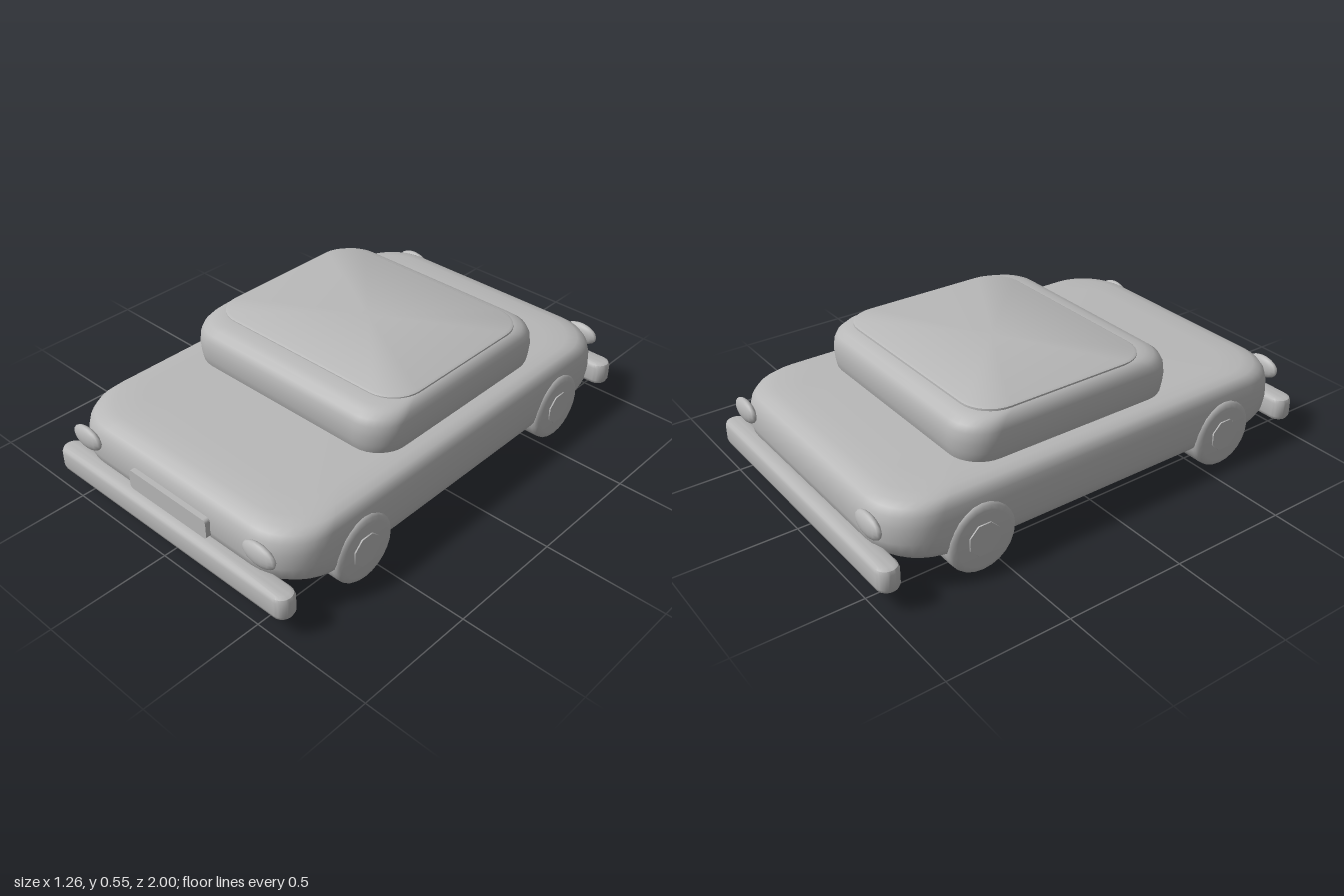
import * as THREE from 'three';
import { toCreasedNormals } from 'three/addons/utils/BufferGeometryUtils.js';

const CREASE = 0.7;

// Outline of a rounded rectangle in the xz plane
function ring(y, w, l, r, cz) {
  const pts = [], n = 8;
  for (let q = 0; q < 4; q++) {
    const sx = q === 0 || q === 3 ? 1 : -1, sz = q < 2 ? 1 : -1;
    for (let i = 0; i <= n; i++) {
      const a = (q + i / n) * Math.PI / 2;
      pts.push([sx * (w - r) + r * Math.cos(a), y, cz + sz * (l - r) + r * Math.sin(a)]);
    }
  }
  return pts;
}

// Stacks rounded rectangles [y, halfWidth, halfLength, cornerRadius] and caps both ends
function loft(layers, cz = 0) {
  const rings = layers.map(([y, w, l, r]) => ring(y, w, l, r, cz));
  const n = rings[0].length, top = rings.length - 1, pos = [];
  const bottomCentre = [0, layers[0][0], cz], topCentre = [0, layers[top][0], cz];
  for (let j = 0; j < n; j++) {
    const k = (j + 1) % n;
    for (let i = 0; i < top; i++) {
      const a = rings[i][j], b = rings[i][k], c = rings[i + 1][j], d = rings[i + 1][k];
      pos.push(...a, ...c, ...b, ...b, ...c, ...d);
    }
    pos.push(...bottomCentre, ...rings[0][j], ...rings[0][k]);
    pos.push(...topCentre, ...rings[top][k], ...rings[top][j]);
  }
  const g = new THREE.BufferGeometry();
  g.setAttribute('position', new THREE.Float32BufferAttribute(pos, 3));
  return toCreasedNormals(g, CREASE);
}

function lathe(profile, segments) {
  const pts = profile.map(([r, y]) => new THREE.Vector2(r, y));
  return toCreasedNormals(new THREE.LatheGeometry(pts, segments), CREASE);
}

export function createModel() {
  const car = new THREE.Group();
  car.name = 'car';
  const grey = new THREE.MeshStandardMaterial({ color: 0xb8b8b8 });
  grey.name = 'plain grey';

  const add = (name, geometry, parent = car) => {
    const mesh = new THREE.Mesh(geometry, grey);
    mesh.name = name;
    parent.add(mesh);
    return mesh;
  };

  // Low body with a flat underside and softly rounded shoulders
  add('body', loft([
    [0.11, 0.59, 0.74, 0.16],
    [0.12, 0.60, 0.84, 0.18],
    [0.135, 0.608, 0.905, 0.2],
    [0.16, 0.613, 0.935, 0.2],
    [0.21, 0.616, 0.945, 0.2],
    [0.27, 0.614, 0.943, 0.2],
    [0.31, 0.608, 0.934, 0.2],
    [0.335, 0.598, 0.918, 0.2],
    [0.35, 0.582, 0.893, 0.2],
    [0.36, 0.55, 0.85, 0.19],
    [0.365, 0.49, 0.76, 0.18],
  ]));

  // Pillowy cabin with a thin roof panel
  add('cabin', loft([
    [0.34, 0.505, 0.47, 0.12],
    [0.37, 0.518, 0.482, 0.13],
    [0.40, 0.525, 0.488, 0.14],
    [0.44, 0.528, 0.49, 0.14],
    [0.48, 0.525, 0.486, 0.14],
    [0.505, 0.519, 0.474, 0.14],
    [0.522, 0.508, 0.452, 0.14],
    [0.533, 0.497, 0.42, 0.14],
    [0.538, 0.485, 0.38, 0.13],
  ], -0.087));
  add('roofPanel', loft([
    [0.53, 0.491, 0.393, 0.13],
    [0.542, 0.49, 0.392, 0.13],
    [0.547, 0.48, 0.382, 0.12],
  ], -0.105));

  // Bumpers at both ends
  const bumperGeometry = loft([
    [0.08, 0.605, 0.033, 0.032],
    [0.086, 0.62, 0.041, 0.04],
    [0.1, 0.627, 0.045, 0.044],
    [0.16, 0.627, 0.045, 0.044],
    [0.174, 0.62, 0.041, 0.04],
    [0.18, 0.605, 0.033, 0.032],
  ]);
  // Oval lamps
  const lampGeometry = new THREE.SphereGeometry(1, 16, 10);
  lampGeometry.scale(0.08, 0.047, 0.024);

  // Tyre and hub profiles, outer face pointing up the lathe axis
  const tyreGeometry = lathe([
    [0, 0], [0.135, 0], [0.145, 0.012], [0.145, 0.108],
    [0.142, 0.122], [0.132, 0.132], [0.115, 0.136], [0, 0.136],
  ], 24);
  const hubGeometry = new THREE.CylinderGeometry(0.068, 0.073, 0.02, 8);

  for (const end of [1, -1]) {
    const endName = end > 0 ? 'front' : 'rear';
    add(endName + 'Bumper', bumperGeometry).position.z = end * 0.955;
    for (const side of [1, -1]) {
      const sideName = side > 0 ? 'Left' : 'Right';
      add(endName + sideName + 'Lamp', lampGeometry).position.set(side * 0.473, 0.275, end * 0.953);
      const wheel = new THREE.Group();
      wheel.name = endName + sideName + 'Wheel';
      add('tyre', tyreGeometry, wheel);
      const hub = add('hub', hubGeometry, wheel);
      hub.position.y = 0.131;
      hub.rotation.y = Math.PI / 8;
      wheel.rotation.z = -side * Math.PI / 2;
      wheel.position.set(side * 0.49, 0.145, end * 0.585);
      car.add(wheel);
    }
  }

  // Number plate with rounded corners
  const plate = new THREE.Shape();
  const w = 0.212, h = 0.042, r = 0.015;
  plate.absarc(w - r, h - r, r, 0, Math.PI / 2);
  plate.absarc(-w + r, h - r, r, Math.PI / 2, Math.PI);
  plate.absarc(-w + r, -h + r, r, Math.PI, Math.PI * 1.5);
  plate.absarc(w - r, -h + r, r, Math.PI * 1.5, Math.PI * 2);
  const plateGeometry = new THREE.ExtrudeGeometry(plate, { depth: 0.035, bevelEnabled: false, curveSegments: 5 });
  add('numberPlate', plateGeometry).position.set(0, 0.228, 0.93);

  return car;
}
